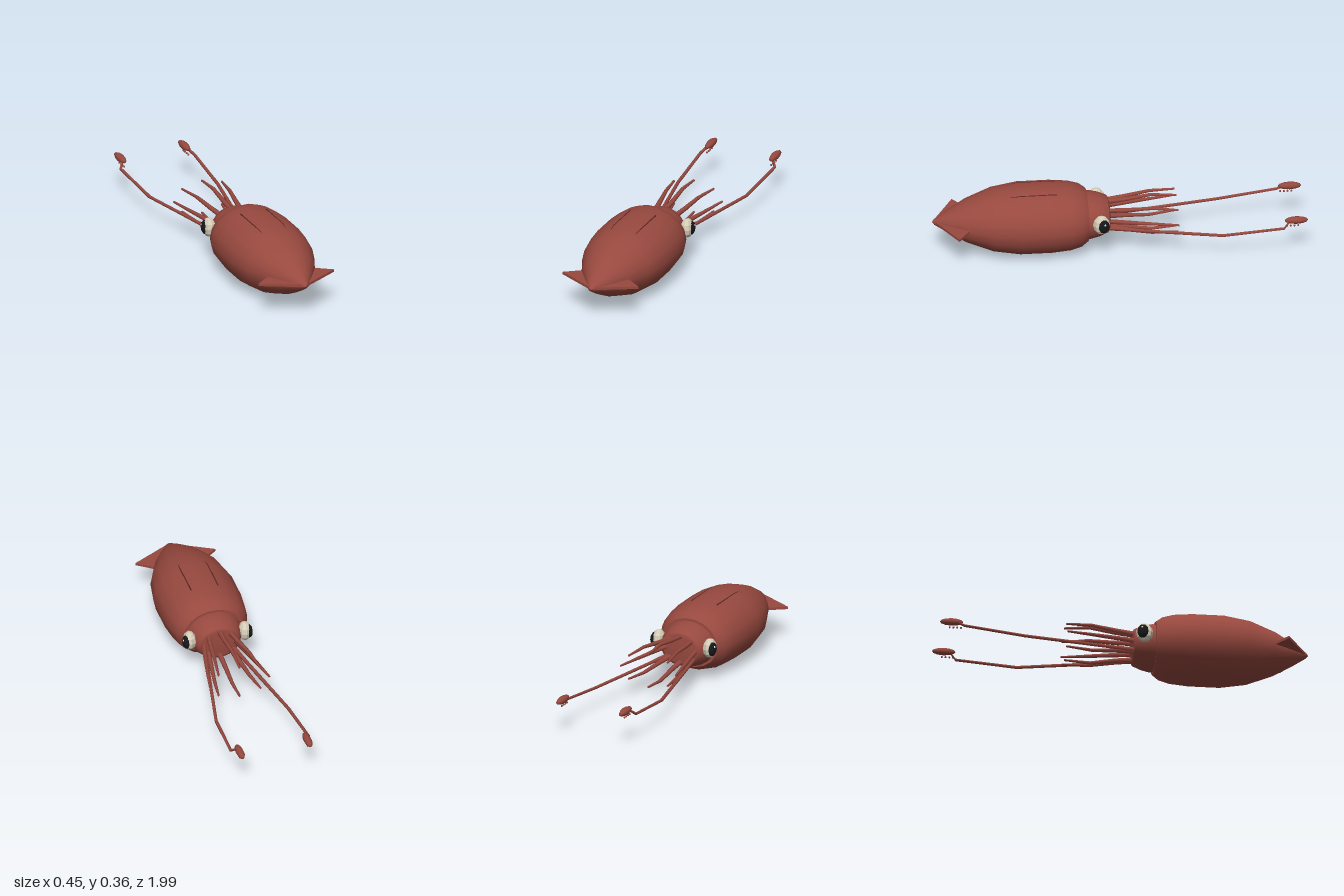
import * as THREE from 'three';

const mat = (name, color, flatShading = false) => {
  const m = new THREE.MeshStandardMaterial({ color, flatShading });
  m.name = name;
  return m;
};

export function createModel() {
  const model = new THREE.Group();
  model.name = 'squid';
  const skin = mat('red brown skin', 0x98493f);
  const mark = mat('dark skin marking', 0x5c2822);
  const cream = mat('cream eyeball', 0xd6cdb8, true);
  const black = mat('black pupil', 0x17181a, true);
  const white = mat('white glint', 0xf4f4f0);
  const CY = 0.187; // height of the body axis

  const add = (name, geometry, material, parent = model) => {
    const mesh = new THREE.Mesh(geometry, material);
    mesh.name = name;
    parent.add(mesh);
    return mesh;
  };

  // Elliptical body of revolution along z; profile is [radius, z]
  const bodyOf = (profile) => {
    const pts = profile.map(([r, z]) => new THREE.Vector2(r, z));
    const g = new THREE.LatheGeometry(pts, 18, Math.PI / 2);
    g.rotateX(Math.PI / 2).scale(1, 0.826, 1).translate(0, CY, 0);
    return g;
  };
  add('mantle', bodyOf([[0.165, 0.165], [0.195, 0.2], [0.214, 0.26], [0.224, 0.36],
    [0.224, 0.53], [0.198, 0.67], [0.136, 0.81], [0.07, 0.91], [0.018, 0.98], [0, 0.992]]), skin);
  add('mantleOpening', bodyOf([[0, 0.166], [0.165, 0.165]]), skin);
  add('head', bodyOf([[0, 0.045], [0.095, 0.046], [0.115, 0.055], [0.137, 0.1], [0.15, 0.15], [0.148, 0.18]]), skin);

  // Tapered limb through points, with one radius per point
  const limb = (points, radii, sides = 6) => {
    const n = points.length - 1;
    const g = new THREE.CylinderGeometry(1, 1, 1, sides, n);
    const p = g.attributes.position;
    for (let v = 0; v < p.count; v++) {
      const i = Math.round((0.5 - p.getY(v)) * n);
      const [x, y, z] = points[i];
      p.setXYZ(v, x + p.getX(v) * radii[i], y - p.getZ(v) * radii[i], z);
    }
    g.computeVertexNormals();
    return g;
  };

  // Eight arms in a ring
  for (let k = 0; k < 8; k++) {
    const a = (k * Math.PI) / 4, c = Math.cos(a), s = Math.sin(a);
    add('arm' + (k + 1), limb([
      [0.083 * c, CY + 0.07 * s, 0.075],
      [0.108 * c, CY + 0.082 * s, -0.04],
      [0.137 * c, CY + 0.103 * s, -0.175],
      [0.165 * c, CY + 0.093 * s, -0.315],
    ], [0.015, 0.013, 0.01, 0.006]), skin);
  }

  for (const side of [1, -1]) {
    const label = side > 0 ? 'left' : 'right';

    // Long feeding tentacle with club and suckers
    add(label + 'Tentacle', limb([
      [0.075 * side, 0.14, 0.07], [0.11 * side, 0.136, -0.1], [0.2 * side, 0.131, -0.545],
      [0.217 * side, 0.166, -0.87], [0.192 * side, 0.192, -0.9],
    ], [0.012, 0.01, 0.009, 0.008, 0.008]), skin);
    const club = new THREE.Group();
    club.name = label + 'Club';
    club.position.set(0.188 * side, 0.198, -0.937);
    model.add(club);
    const pad = new THREE.SphereGeometry(1, 8, 6).rotateX(Math.PI / 2).scale(0.022, 0.021, 0.063);
    add('clubPad', pad, skin, club);
    for (let i = 0; i < 4; i++) {
      add('sucker', new THREE.SphereGeometry(0.006, 6, 4), skin, club)
        .position.set(0, -0.032, 0.05 - i * 0.02);
    }

    // Eye on the side of the head
    const eye = new THREE.Group();
    eye.name = label + 'Eye';
    eye.position.set(0.153 * side, 0.205, 0.1);
    model.add(eye);
    add('eyeball', new THREE.SphereGeometry(1, 8, 6).scale(0.036, 0.054, 0.046), cream, eye);
    add('pupil', new THREE.SphereGeometry(1, 8, 6).scale(0.024, 0.04, 0.033), black, eye)
      .position.set(0.018 * side, 0, -0.009);
    add('glint', new THREE.SphereGeometry(0.006, 6, 4), white, eye)
      .position.set(0.036 * side, 0.016, -0.016);

    // Triangular tail fin
    const outline = new THREE.Shape([[0, 0.985], [0.222, 0.865], [0.14, 0.805], [0.06, 0.82]]
      .map(([x, z]) => new THREE.Vector2(x * side, z)));
    const fin = new THREE.ExtrudeGeometry(outline, { depth: 0.014, bevelEnabled: false });
    fin.rotateX(Math.PI / 2).translate(0, CY + 0.009, 0);
    add(label + 'Fin', fin, skin);

    // Thin pigment lines along the back
    add(label + 'BackLine', limb([
      [0.069 * side, 0.344, 0.605], [0.075 * side, 0.357, 0.53], [0.075 * side, 0.358, 0.33],
    ], [0.0035, 0.0035, 0.0035]), mark);
    add(label + 'TailLine', limb([
      [0.04 * side, 0.262, 0.85], [0.043 * side, 0.287, 0.81],
    ], [0.003, 0.003]), mark);
  }
  return model;
}
